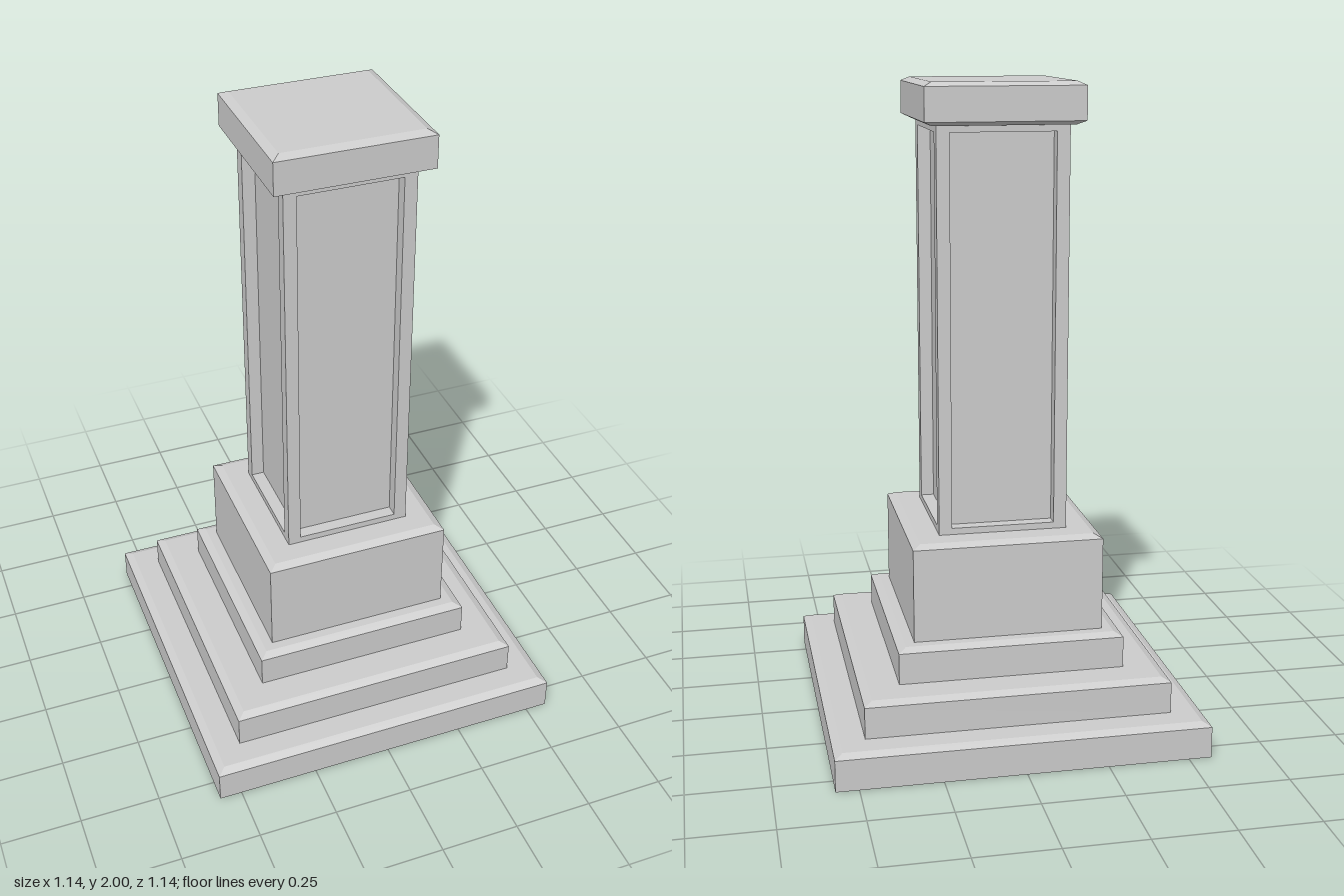
import * as THREE from 'three';

const material = new THREE.MeshStandardMaterial({ color: 0xcccccc, flatShading: true });
const BEVEL_IN = 0.025, BEVEL_UP = 0.012;

// Square slab with a shallow chamfer on its top edge, and optionally its bottom edge
function slab(name, half, bottom, top, bevelBottom = false) {
  const profile = [
    [0, bottom],
    ...(bevelBottom ? [[half - BEVEL_IN, bottom], [half, bottom + BEVEL_UP]] : [[half, bottom]]),
    [half, top - BEVEL_UP],
    [half - BEVEL_IN, top],
    [0, top],
  ].map(([x, y]) => new THREE.Vector2(x * Math.SQRT2, y));
  const geometry = new THREE.LatheGeometry(profile, 4);
  geometry.rotateY(Math.PI / 4);
  const mesh = new THREE.Mesh(geometry, material);
  mesh.name = name;
  return mesh;
}

function box(name, width, bottom, top, x = 0, z = 0) {
  const mesh = new THREE.Mesh(new THREE.BoxGeometry(width, top - bottom, width), material);
  mesh.position.set(x, (bottom + top) / 2, z);
  mesh.name = name;
  return mesh;
}

export function createModel() {
  const model = new THREE.Group();
  model.name = 'pedestalColumn';

  // Stepped base and plinth
  model.add(
    slab('lowerStep', 0.57, 0, 0.11),
    slab('middleStep', 0.47, 0.11, 0.22),
    slab('upperStep', 0.35, 0.22, 0.33),
    slab('plinth', 0.295, 0.33, 0.635),
  );

  // Shaft: recessed core framed by rails and corner posts
  const shaft = new THREE.Group();
  shaft.name = 'shaft';
  const bottom = 0.635, top = 1.875, rail = 0.02, post = 0.04, half = 0.2;
  shaft.add(
    box('panelCore', 2 * (half - post), bottom + rail, top - rail),
    box('bottomRail', 2 * half, bottom, bottom + rail),
    box('topRail', 2 * half, top - rail, top),
  );
  for (const sx of [-1, 1]) {
    for (const sz of [-1, 1]) {
      const offset = half - post / 2;
      shaft.add(box('cornerPost', post, bottom + rail, top - rail, sx * offset, sz * offset));
    }
  }
  model.add(shaft);

  // Cap, chamfered above and below
  model.add(slab('cap', 0.24, 1.875, 2, true));

  return model;
}
